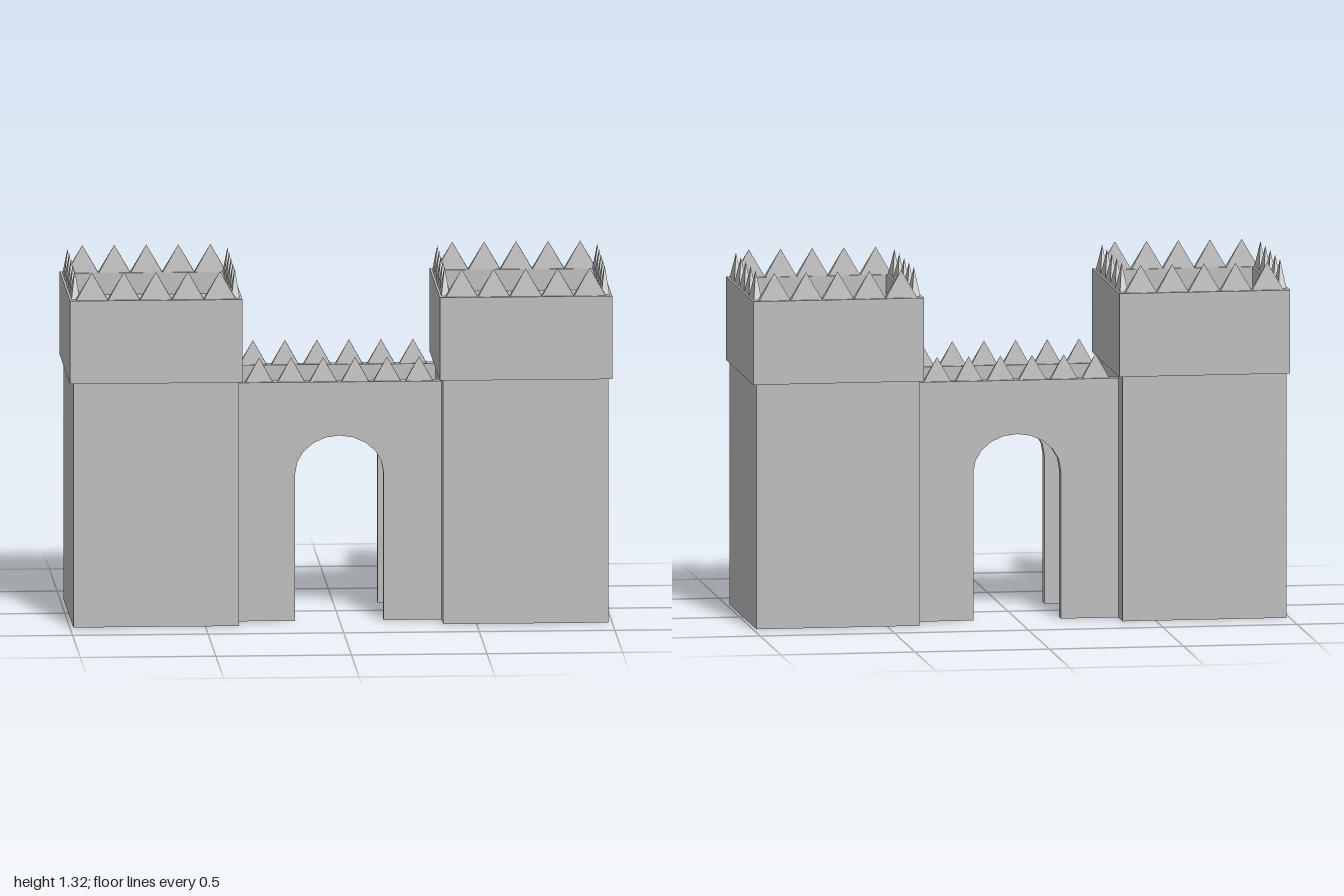
import * as THREE from 'three';

const stone = new THREE.MeshStandardMaterial({ color: 0xbcbcbc });
stone.name = 'grey stone';

function add(parent, name, geometry, x = 0, y = 0, z = 0) {
  const mesh = new THREE.Mesh(geometry, stone);
  mesh.name = name;
  mesh.position.set(x, y, z);
  parent.add(mesh);
  return mesh;
}

// Box standing on y0 and reaching y1
function block(parent, name, width, depth, y0, y1) {
  return add(parent, name, new THREE.BoxGeometry(width, y1 - y0, depth), 0, (y0 + y1) / 2, 0);
}

// Unit four-sided pyramid with its base on y = 0 and flat faces
const spikeGeometry = new THREE.ConeGeometry(Math.SQRT1_2, 1, 4).rotateY(Math.PI / 4).translate(0, 0.5, 0).toNonIndexed();
spikeGeometry.computeVertexNormals();

// Row of flat pyramids centred on the origin and running along x
function spikeRow(count, spacing, width, height, depth) {
  const row = new THREE.Group();
  row.name = 'spikeRow';
  for (let i = 0; i < count; i++) {
    const spike = add(row, 'spike', spikeGeometry, (i - (count - 1) / 2) * spacing);
    spike.scale.set(width, height, depth);
  }
  return row;
}

function rectangle(PathType, width, depth) {
  const w = width / 2, d = depth / 2;
  return new PathType([[-w, -d], [w, -d], [w, d], [-w, d]].map(p => new THREE.Vector2(...p)));
}

function createTower() {
  const tower = new THREE.Group();
  block(tower, 'towerBase', 0.61, 0.648, 0, 0.91);

  // Overhanging crown with a sunken roof
  const outline = rectangle(THREE.Shape, 0.636, 0.668);
  outline.holes.push(rectangle(THREE.Path, 0.545, 0.578));
  const crown = new THREE.ExtrudeGeometry(outline, { depth: 0.31, bevelEnabled: false });
  crown.rotateX(-Math.PI / 2);
  add(tower, 'towerCrown', crown, 0, 0.91, 0);
  block(tower, 'towerRoof', 0.545, 0.578, 0.91, 1.14);

  // Spikes on all four sides
  for (const s of [-1, 1]) {
    const along = spikeRow(5, 0.118, 0.117, 0.102, 0.03);
    along.position.set(0, 1.22, s * 0.309);
    const across = spikeRow(5, 0.118, 0.117, 0.102, 0.03);
    across.position.set(s * 0.295, 1.22, 0);
    across.rotation.y = Math.PI / 2;
    tower.add(along, across);
  }
  return tower;
}

function createGatehouse() {
  const gate = new THREE.Group();
  gate.name = 'gatehouse';

  // Wall outline with an arched doorway cut up from the ground
  const wall = new THREE.Shape();
  wall.moveTo(-0.378, 0);
  wall.lineTo(-0.163, 0);
  const steps = 10;
  for (let i = 0; i <= steps; i++) {
    const a = Math.PI * (1 - i / steps);
    wall.lineTo(0.163 * Math.cos(a), 0.55 + 0.14 * Math.sin(a));
  }
  wall.lineTo(0.163, 0);
  wall.lineTo(0.378, 0);
  wall.lineTo(0.378, 0.89);
  wall.lineTo(-0.378, 0.89);
  wall.closePath();
  const wallGeometry = new THREE.ExtrudeGeometry(wall, { depth: 0.042, bevelEnabled: false });
  wallGeometry.translate(0, 0, -0.021);

  // Front and back walls, each topped with spikes
  for (const [name, s] of [['frontWall', 1], ['backWall', -1]]) {
    add(gate, name, wallGeometry, 0, 0, s * 0.198);
    const row = spikeRow(6, 0.118, 0.1, 0.09, 0.024);
    row.position.set(0, 0.89, s * 0.198);
    gate.add(row);
  }
  block(gate, 'walkway', 0.756, 0.36, 0.81, 0.82);
  return gate;
}

export function createModel() {
  const model = new THREE.Group();
  model.name = 'castleGate';
  for (const [name, s] of [['leftTower', 1], ['rightTower', -1]]) {
    const tower = createTower();
    tower.name = name;
    tower.position.x = s * 0.682;
    model.add(tower);
  }
  model.add(createGatehouse());
  return model;
}
